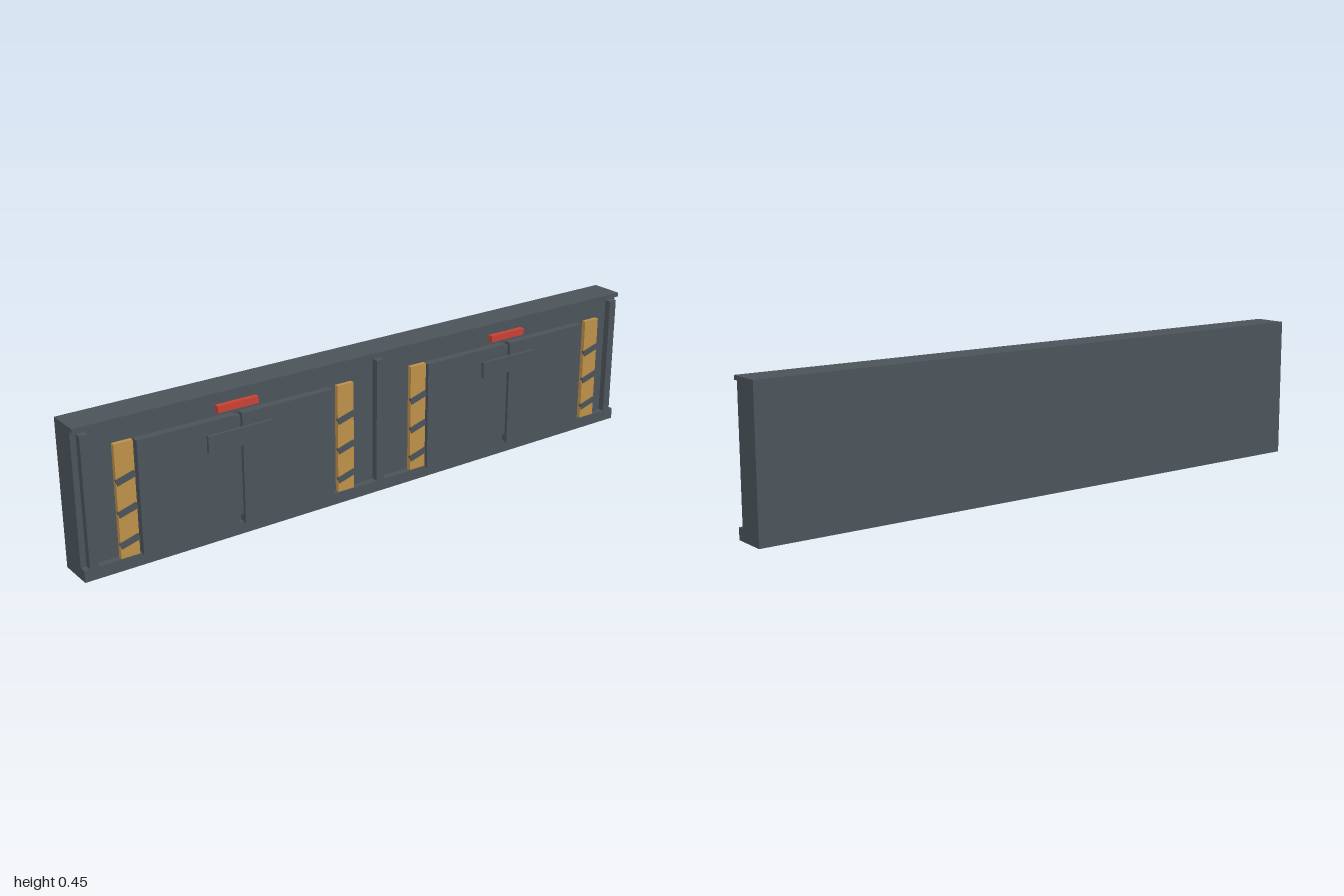
import * as THREE from 'three';

const mat = (name, color) => {
  const m = new THREE.MeshStandardMaterial({ color });
  m.name = name;
  return m;
};

export function createModel() {
  const model = new THREE.Group();
  model.name = 'doubleBayWallPanel';
  const steel = mat('slate steel', 0x4b535a);
  const amber = mat('hazard amber', 0xbd9049);
  const red = mat('lamp red', 0xc94034);

  // Box given by its extents on each axis
  const box = (parent, name, material, [x0, x1], [y0, y1], [z0, z1]) => {
    const mesh = new THREE.Mesh(new THREE.BoxGeometry(x1 - x0, y1 - y0, z1 - z0), material);
    mesh.position.set((x0 + x1) / 2, (y0 + y1) / 2, (z0 + z1) / 2);
    mesh.name = name;
    parent.add(mesh);
    return mesh;
  };

  // Wall slab with top lip and bottom sill
  box(model, 'wall', steel, [-1, 1], [0, 0.453], [-0.065, 0.026]);
  box(model, 'topLip', steel, [-1, 1], [0.44, 0.453], [0.026, 0.042]);
  box(model, 'bottomSill', steel, [-1, 1], [0, 0.036], [0.026, 0.048]);

  // Upright posts at the ends and the middle
  for (const x of [-0.97, 0, 0.97]) {
    box(model, 'post', steel, [x - 0.0135, x + 0.0135], [0.037, 0.431], [0.028, 0.049]);
  }

  // Two identical door bays
  for (const x of [-0.5, 0.5]) {
    const bay = new THREE.Group();
    bay.name = 'doorBay';
    bay.position.x = x;
    model.add(bay);

    box(bay, 'seamStrip', steel, [-0.011, 0.011], [0.06, 0.371], [0.024, 0.045]);
    box(bay, 'crossPlate', steel, [-0.107, 0.107], [0.288, 0.34], [0.055, 0.066]);
    box(bay, 'warningLamp', red, [-0.067, 0.067], [0.397, 0.418], [0.038, 0.055]);

    for (const s of [-1, 1]) {
      // Door leaf
      const edges = [s * 0.01, s * 0.322].sort((a, b) => a - b);
      box(bay, 'doorLeaf', steel, edges, [0.033, 0.38], [0.03, 0.056]);

      // Hazard strip with slanted dark bars
      const cx = s * 0.364;
      box(bay, 'hazardStrip', amber, [cx - 0.029, cx + 0.029], [0.045, 0.388], [0.046, 0.06]);
      for (const y of [0.092, 0.187, 0.283]) {
        const bar = box(bay, 'hazardBar', steel, [cx - 0.03, cx + 0.03], [y - 0.01, y + 0.01], [0.055, 0.063]);
        bar.rotation.z = 0.28;
      }
    }
  }
  return model;
}
